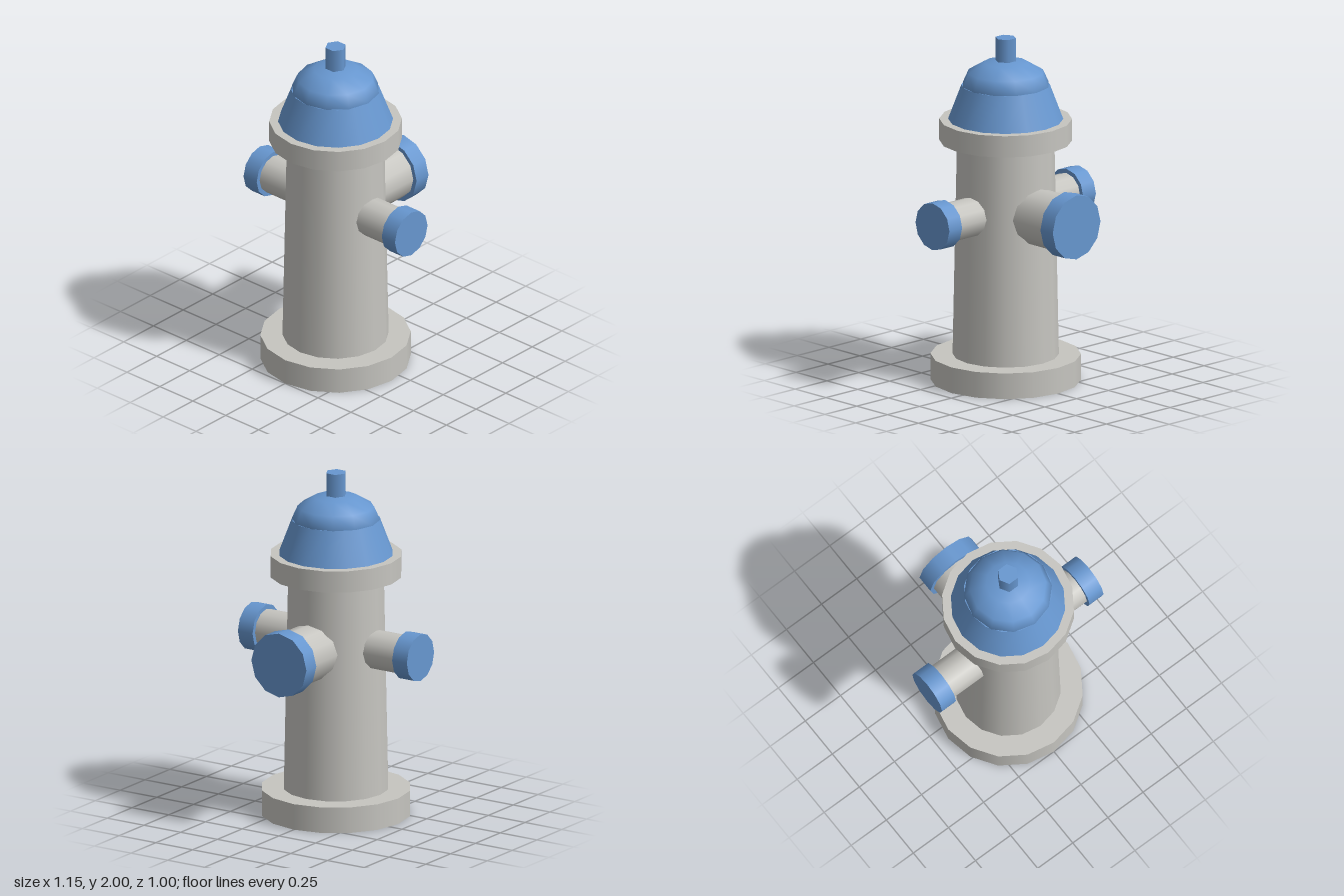
import * as THREE from 'three';

const AXIS_Z = 0.075; // the barrel stands forward of centre to balance the rear outlet
const OUTLET_Y = 1.003;

export function createModel() {
  const grey = new THREE.MeshStandardMaterial({ color: 0xc6c5c0 });
  grey.name = 'light grey';
  const blue = new THREE.MeshStandardMaterial({ color: 0x6797d0 });
  blue.name = 'blue';

  const model = new THREE.Group();
  model.name = 'hydrant';
  model.position.z = AXIS_Z;

  const add = (parent, name, geometry, material) => {
    const mesh = new THREE.Mesh(geometry, material);
    mesh.name = name;
    parent.add(mesh);
    return mesh;
  };

  // Upright cylinder or cone between two heights
  const column = (name, rTop, rBottom, y0, y1, sides, material) => {
    const geometry = new THREE.CylinderGeometry(rTop, rBottom, y1 - y0, sides);
    geometry.translate(0, (y0 + y1) / 2, 0);
    return add(model, name, geometry, material);
  };

  column('base', 0.425, 0.425, 0, 0.15, 16, grey);
  column('barrel', 0.275, 0.3, 0.15, 1.4, 16, grey);
  column('collar', 0.375, 0.375, 1.4, 1.525, 16, grey);
  column('bonnet', 0.25, 0.325, 1.525, 1.725, 16, blue);

  // Flattened dome above the bonnet
  const domeGeometry = new THREE.SphereGeometry(0.25, 12, 3, 0, Math.PI * 2, 0, Math.PI / 2);
  domeGeometry.scale(1, 0.6, 1);
  domeGeometry.translate(0, 1.725, 0);
  add(model, 'dome', domeGeometry, blue);

  // Hexagonal operating nut
  column('nut', 0.06, 0.06, 1.85, 2, 6, blue).rotation.y = Math.PI / 6;

  // Outlet pipe with a cap, running outward along local +z
  const outlet = (name, angle, pipeRadius, capRadius, reach) => {
    const group = new THREE.Group();
    group.name = name;
    group.position.y = OUTLET_Y;
    group.rotation.y = angle;
    const tube = (part, radius, z0, z1, material) => {
      const geometry = new THREE.CylinderGeometry(radius, radius, z1 - z0, 12);
      geometry.rotateX(Math.PI / 2);
      geometry.translate(0, 0, (z0 + z1) / 2);
      add(group, part, geometry, material);
    };
    tube('pipe', pipeRadius, 0.1, reach - 0.1, grey);
    tube('cap', capRadius, reach - 0.1, reach, blue);
    model.add(group);
  };

  outlet('leftOutlet', Math.PI / 2, 0.1125, 0.1375, 0.575);
  outlet('rightOutlet', -Math.PI / 2, 0.1125, 0.1375, 0.575);
  outlet('rearOutlet', Math.PI, 0.1625, 0.1875, 0.575);

  const root = new THREE.Group();
  root.name = 'fireHydrant';
  root.add(model);
  return root;
}
